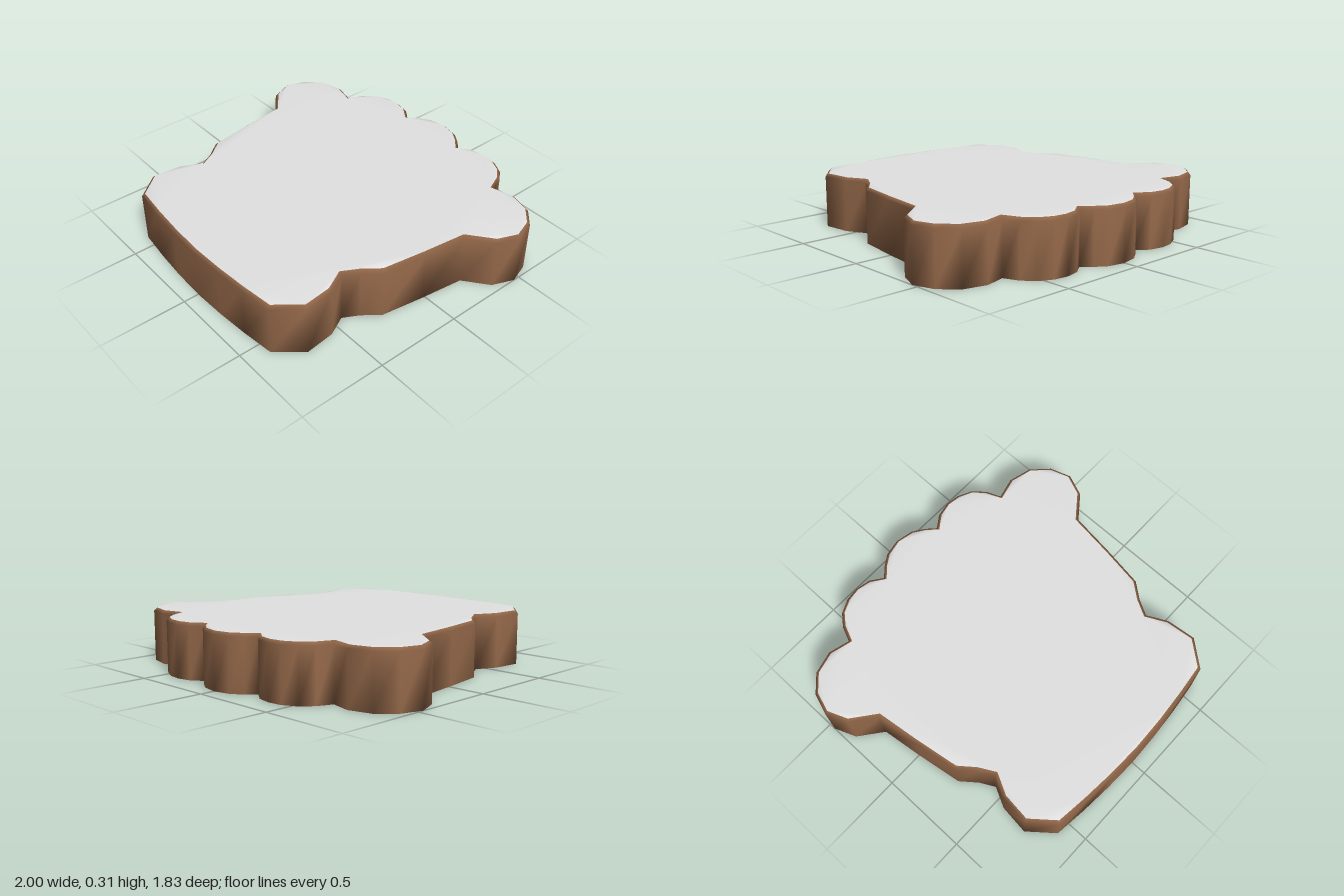
import * as THREE from 'three';

const HEIGHT = 0.31;
const BEVEL = 0.017;

// Right half of the outline as [x, z], from the back centre to the front centre
const HALF = [
  [0, -0.917], [0.1, -0.897], [0.165, -0.853], [0.216, -0.805], // middle lobe
  [0.285, -0.855], [0.37, -0.872], [0.45, -0.862], [0.53, -0.823],
  [0.585, -0.758], [0.62, -0.675], // upper side lobe
  [0.74, -0.706], [0.87, -0.672], [0.96, -0.583], [1, -0.463],
  [0.95, -0.34], [0.815, -0.235], // outer lobe
  [0.782, 0.015], [0.742, 0.265], [0.67, 0.355], [0.622, 0.442], // body and waist
  [0.68, 0.555], [0.698, 0.725], [0.58, 0.868], // base
  [0.39, 0.89], [0.2, 0.905], [0, 0.912],
];

// Full outline, counter-clockwise seen from above, as (x, -z)
function outline() {
  const left = HALF.map(([x, z]) => new THREE.Vector2(-x, -z));
  const right = HALF.slice(1, -1).reverse().map(([x, z]) => new THREE.Vector2(x, -z));
  return [...left, ...right];
}

// Mitred inward offset of a closed outline
function inset(points, distance) {
  const n = points.length;
  const inward = (a, b) => {
    const d = b.clone().sub(a).normalize();
    return new THREE.Vector2(-d.y, d.x);
  };
  return points.map((p, i) => {
    const n0 = inward(points[(i + n - 1) % n], p);
    const n1 = inward(p, points[(i + 1) % n]);
    const miter = n0.clone().add(n1);
    return p.clone().addScaledVector(miter, distance / (1 + n0.dot(n1)));
  });
}

export function createModel() {
  const group = new THREE.Group();
  group.name = 'biscuit';

  const dough = new THREE.MeshStandardMaterial({ color: 0x95694a });
  dough.name = 'brown dough';
  const icing = new THREE.MeshStandardMaterial({ color: 0xe2e2e2 });
  icing.name = 'pale icing';

  const outer = outline();
  const inner = inset(outer, BEVEL);
  const n = outer.length;

  // Rings: bottom edge, top of the wall, inner edge of the bevel
  const rings = [[outer, 0], [outer, HEIGHT - BEVEL], [inner, HEIGHT]];
  const positions = [];
  for (const [ring, y] of rings) {
    for (const p of ring) positions.push(p.x, y, -p.y);
  }

  const index = [];
  // Wall and bevel
  for (let r = 0; r < 2; r++) {
    for (let i = 0; i < n; i++) {
      const j = (i + 1) % n;
      const a = r * n + i, b = r * n + j;
      index.push(a, b, b + n, a, b + n, a + n);
    }
  }
  // Underside
  for (const [a, b, c] of THREE.ShapeUtils.triangulateShape(outer, [])) index.push(a, c, b);
  const doughCount = index.length;
  // Iced top
  for (const t of THREE.ShapeUtils.triangulateShape(inner, [])) {
    index.push(...t.map((k) => k + 2 * n));
  }

  // Shared vertices give soft shading over the whole slab
  const geometry = new THREE.BufferGeometry();
  geometry.setAttribute('position', new THREE.Float32BufferAttribute(positions, 3));
  geometry.setIndex(index);
  geometry.addGroup(0, doughCount, 0);
  geometry.addGroup(doughCount, index.length - doughCount, 1);
  geometry.computeVertexNormals();

  const slab = new THREE.Mesh(geometry, [dough, icing]);
  slab.name = 'icedSlab';
  group.add(slab);
  return group;
}
